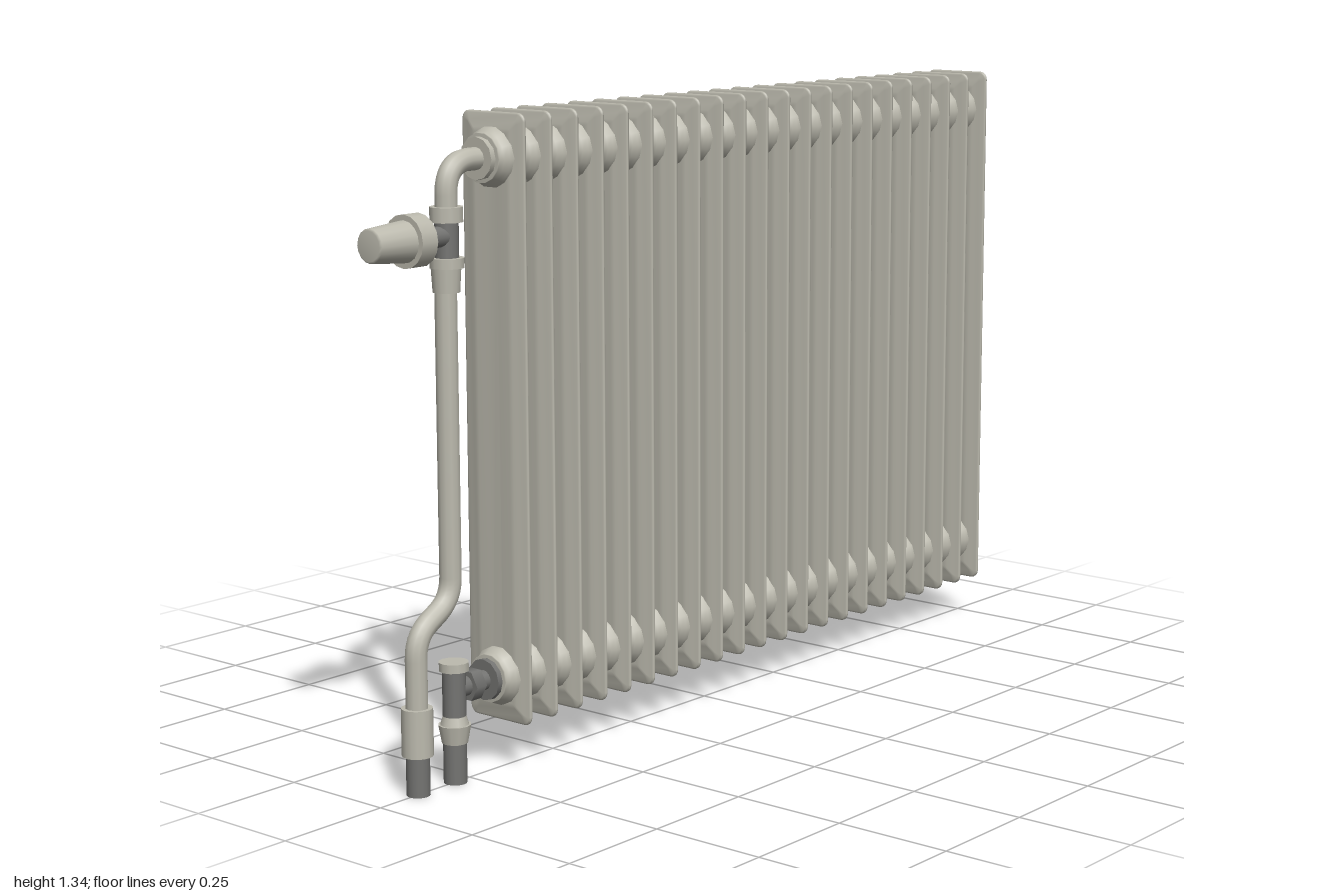
import * as THREE from 'three';

const paint = new THREE.MeshStandardMaterial({ color: 0xbcbaae });
paint.name = 'warm grey enamel';
const metal = new THREE.MeshStandardMaterial({ color: 0x747472 });
metal.name = 'dark grey metal';

const TOP = 1.255, LOW = 0.195, FINS = 22, FIRST = -0.653, STEP = 0.0768;

// Thin plate with a tapered rim, lofted across x from rounded rectangles.
function finGeometry() {
  const rim = [[0, 0.002], [0.004, 0.004], [0.018, 0.006], [0.032, 0.010], [0.042, 0.011], [0.07, 0.009]];
  const sections = [...rim.map(([d, x]) => [d, -x]).reverse(), ...rim];
  const pos = [], idx = [], n = 20;
  for (const [d, x] of sections) {
    const r = Math.max(0.018 - d, 0.004);
    for (let c = 0; c < 4; c++) {
      const cz = (c === 0 || c === 3 ? 1 : -1) * (0.084 - d - r);
      const cy = (c < 2 ? 1 : -1) * (0.622 - d - r);
      for (let k = 0; k < 5; k++) {
        const a = (c + k / 4) * Math.PI / 2;
        pos.push(x, cy + r * Math.sin(a), cz + r * Math.cos(a));
      }
    }
  }
  for (let s = 0; s < sections.length - 1; s++) {
    for (let i = 0; i < n; i++) {
      const a = s * n + i, b = s * n + (i + 1) % n;
      idx.push(a, a + n, b, b, a + n, b + n);
    }
  }
  // Close both faces
  const last = (sections.length - 1) * n;
  for (let i = 1; i < n - 1; i++) {
    idx.push(0, i, i + 1, last, last + i + 1, last + i);
  }
  const g = new THREE.BufferGeometry();
  g.setAttribute('position', new THREE.Float32BufferAttribute(pos, 3));
  g.setIndex(idx);
  g.computeVertexNormals();
  return g;
}

export function createModel() {
  const model = new THREE.Group();
  model.name = 'radiator';

  const add = (name, geo, mat, x = 0, y = 0) => {
    const m = new THREE.Mesh(geo, mat);
    m.name = name;
    m.position.set(x, y, 0);
    model.add(m);
  };
  // Turned part along x, profile as [radius, x]
  const turned = (name, profile, y, sides, mat) => {
    const g = new THREE.LatheGeometry(profile.map(p => new THREE.Vector2(...p)), sides);
    add(name, g.rotateZ(-Math.PI / 2), mat, 0, y);
  };
  // Upright and horizontal cylinders
  const upright = (name, x, y0, y1, r0, r1, mat, sides = 16) =>
    add(name, new THREE.CylinderGeometry(r1, r0, y1 - y0, sides), mat, x, (y0 + y1) / 2);
  const across = (name, y, x0, x1, r0, r1, mat, sides = 16) =>
    add(name, new THREE.CylinderGeometry(r1, r0, x1 - x0, sides).rotateZ(-Math.PI / 2), mat, (x0 + x1) / 2, y);

  // Fins
  const fin = finGeometry();
  for (let i = 0; i < FINS; i++) add('fin', fin, paint, FIRST + i * STEP, 0.7225);

  // Header tubes, waisted between fins
  const header = [[0, -0.694], [0.05, -0.694], [0.05, -0.69]];
  for (let i = 0; i < FINS; i++) {
    const x = FIRST + i * STEP;
    header.push([0.053, x - 0.027], [0.06, x - 0.017], [0.063, x], [0.06, x + 0.017], [0.053, x + 0.027]);
    if (i < FINS - 1) header.push([0.05, x + STEP / 2]);
  }
  for (const y of [TOP, LOW]) {
    turned('headerTube', header, y, 14, paint);
    turned('endCap', [[0.06, 0.96], [0.06, 0.984], [0.05, 0.994], [0.028, 0.998], [0, 1]], y, 8, paint);
    across('headerCollar', y, -0.706, -0.688, 0.043, 0.043, y === TOP ? paint : metal, 12);
  }

  // Pipes with rounded bends
  const pipe = (name, points, bend, r) => {
    const p = points.map(([x, y]) => new THREE.Vector3(x, y, 0));
    const path = new THREE.CurvePath();
    let from = p[0];
    for (let i = 1; i < p.length - 1; i++) {
      const a = p[i].clone().add(p[i - 1].clone().sub(p[i]).setLength(bend));
      const b = p[i].clone().add(p[i + 1].clone().sub(p[i]).setLength(bend));
      path.add(new THREE.LineCurve3(from, a));
      path.add(new THREE.QuadraticBezierCurve3(a, p[i], b));
      from = b;
    }
    path.add(new THREE.LineCurve3(from, p[p.length - 1]));
    add(name, new THREE.TubeGeometry(path, 70, r, 12, false), paint);
  };
  pipe('upperElbow', [[-0.695, TOP], [-0.79, TOP], [-0.79, 1.15]], 0.065, 0.023);
  pipe('supplyPipe', [[-0.795, 1.02], [-0.795, 0.383], [-0.895, 0.325], [-0.895, 0.16]], 0.045, 0.023);

  // Thermostatic valve
  upright('valveTopNut', -0.79, 1.138, 1.168, 0.034, 0.034, paint, 12);
  upright('valveBody', -0.79, 1.06, 1.145, 0.024, 0.024, metal);
  upright('valveLowerNut', -0.79, 1.048, 1.068, 0.035, 0.035, paint, 12);
  upright('valveCoupling', -0.793, 1.0, 1.05, 0.027, 0.03, paint);
  across('valveStem', 1.11, -0.87, -0.79, 0.021, 0.021, metal);
  turned('thermostatHead', [[0, -1], [0.03, -1], [0.034, -0.996], [0.042, -0.905]], 1.11, 16, paint);
  across('thermostatCollar', 1.11, -0.907, -0.866, 0.053, 0.053, paint, 16);

  // Supply pipe foot
  upright('supplySleeve', -0.895, 0.082, 0.18, 0.032, 0.032, paint);
  upright('supplyStub', -0.895, 0, 0.09, 0.024, 0.024, metal);

  // Lower return valve
  upright('returnCap', -0.79, 0.234, 0.252, 0.031, 0.031, paint, 12);
  upright('returnBody', -0.79, 0.14, 0.238, 0.024, 0.024, metal);
  upright('returnNut', -0.79, 0.12, 0.14, 0.03, 0.024, paint, 12);
  upright('returnCoupling', -0.79, 0.084, 0.122, 0.027, 0.034, paint, 12);
  upright('returnStub', -0.79, 0, 0.09, 0.024, 0.024, metal);
  across('returnArm', LOW, -0.79, -0.69, 0.021, 0.021, metal);
  across('returnUnion', LOW, -0.758, -0.73, 0.034, 0.034, metal, 6);

  return model;
}
